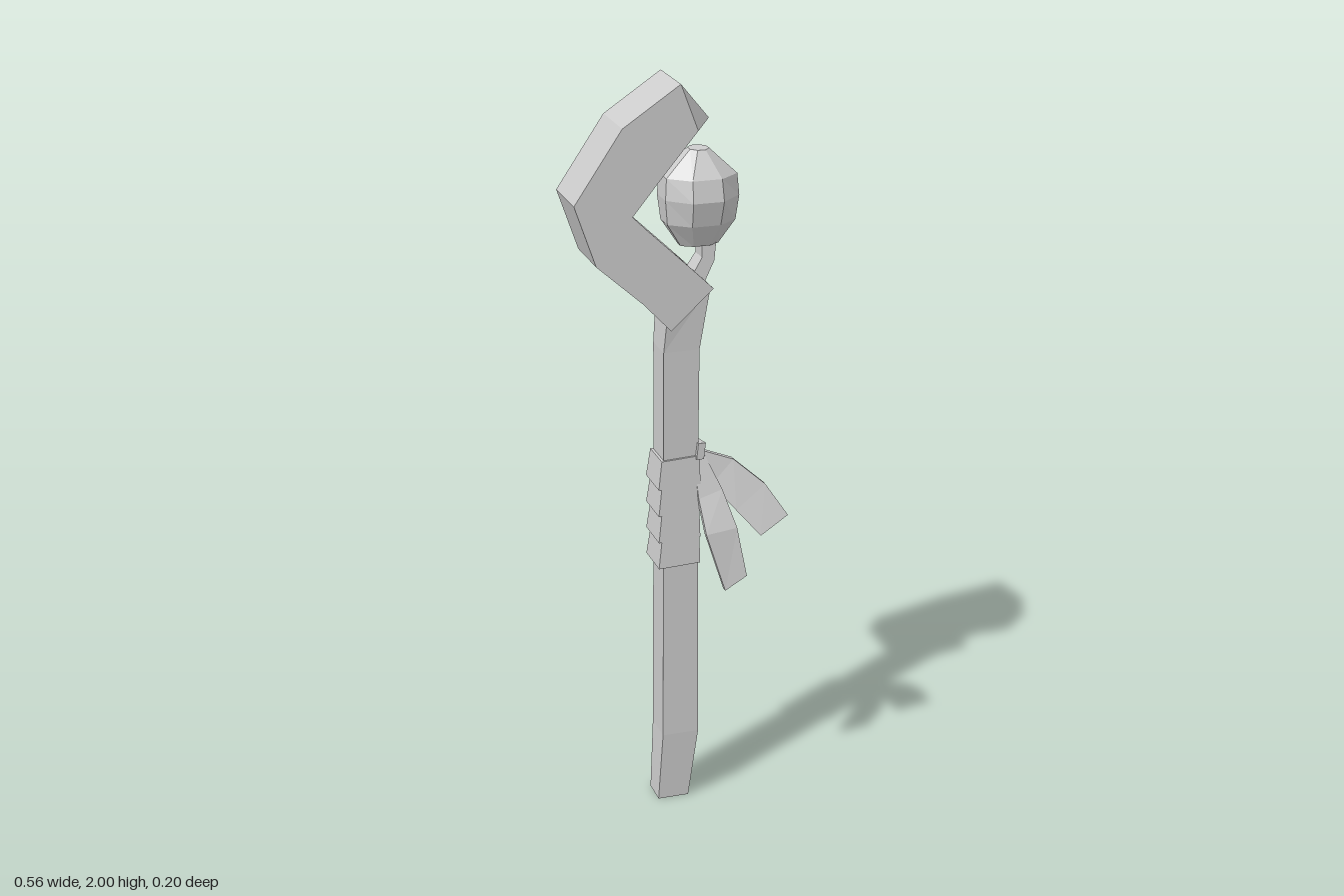
import * as THREE from 'three';

const stone = new THREE.MeshStandardMaterial({ color: 0xcccccc, flatShading: true, side: THREE.DoubleSide });
stone.name = 'plain grey';

// Closed flat-shaded solid through rings of [x, y, z] points; winding is fixed by signed volume.
function loft(name, rings) {
  const tris = [];
  const n = rings[0].length;
  for (let i = 0; i + 1 < rings.length; i++) {
    for (let j = 0; j < n; j++) {
      const k = (j + 1) % n;
      const [a, b, c, d] = [rings[i][j], rings[i][k], rings[i + 1][k], rings[i + 1][j]];
      tris.push([a, b, c], [a, c, d]);
    }
  }
  const first = rings[0], last = rings[rings.length - 1];
  for (let j = 1; j + 1 < n; j++) {
    tris.push([first[0], first[j + 1], first[j]], [last[0], last[j], last[j + 1]]);
  }
  const v = (p) => new THREE.Vector3(...p);
  const volume = tris.reduce((s, [a, b, c]) => s + v(a).dot(v(b).cross(v(c))), 0);
  if (volume < 0) tris.forEach((t) => t.reverse());
  const geometry = new THREE.BufferGeometry();
  geometry.setAttribute('position', new THREE.Float32BufferAttribute(tris.flat(2), 3));
  geometry.computeVertexNormals();
  const mesh = new THREE.Mesh(geometry, stone);
  mesh.name = name;
  return mesh;
}

// Four-cornered ring lying across the shaft, with a height for each side
const shaftRing = (x0, x1, z0, z1, yLeft, yRight = yLeft) =>
  [[x0, yLeft, z1], [x1, yRight, z1], [x1, yRight, z0], [x0, yLeft, z0]];

// Ring spanning two edge points in the xy plane, extended in z
const spanRing = ([ax, ay], [bx, by], z0, z1) => [[ax, ay, z0], [bx, by, z0], [bx, by, z1], [ax, ay, z1]];

export function createModel() {
  const staff = new THREE.Group();
  staff.name = 'staff';

  // Square shaft, tapered at the foot and leaning at the top
  staff.add(loft('shaft', [
    shaftRing(-0.06, 0.025, -0.05, 0.025, 0),
    shaftRing(-0.05, 0.05, -0.058, 0.035, 0.2),
    shaftRing(-0.046, 0.048, -0.055, 0.033, 1.0),
    shaftRing(-0.046, 0.05, -0.055, 0.035, 1.3),
    shaftRing(-0.04, 0.077, -0.06, 0.042, 1.38, 1.47),
  ]));

  // Hooked head with a pinched tip
  const outer = [[-0.035, 1.367], [-0.11, 1.447], [-0.23, 1.555], [-0.285, 1.715], [-0.16, 1.9], [-0.01, 2.0]];
  const inner = [[0.077, 1.47], [0.01, 1.535], [-0.1, 1.64], [-0.135, 1.675], [-0.07, 1.755], [0.035, 1.88]];
  const hook = outer.map((p, i) => spanRing(p, inner[i], -0.1, 0.065));
  hook.push(spanRing([0.077, 1.9], [0.055, 1.88], -0.055, 0.02));
  staff.add(loft('hook', hook));

  // Faceted gem and its bent stem
  const gemRings = [[1.572, 0.05, 0.03], [1.635, 0.09, 0.07], [1.7, 0.097, 0.088], [1.755, 0.093, 0.076], [1.82, 0.025, 0.028]];
  staff.add(loft('gem', gemRings.map(([y, rx, rz]) => Array.from({ length: 8 }, (_, i) => {
    const a = (i + 0.5) * Math.PI / 4, s = 1 / Math.cos(Math.PI / 8);
    return [0.057 + Math.cos(a) * rx * s, y, -0.003 + Math.sin(a) * rz * s];
  }))));
  staff.add(loft('gemStem', [
    spanRing([0.02, 1.46], [0.05, 1.44], -0.036, 0.026),
    spanRing([0.035, 1.5], [0.07, 1.485], -0.036, 0.026),
    spanRing([0.06, 1.54], [0.093, 1.53], -0.032, 0.022),
    spanRing([0.06, 1.59], [0.1, 1.59], -0.028, 0.018),
  ]));

  // Grip wrapping: four overlapping bands, flaring towards the left and back
  for (let i = 0; i < 4; i++) {
    const y = 0.7 + i * 0.075;
    staff.add(loft('gripBand', [
      shaftRing(-0.062, 0.052, -0.072, 0.042, y, y + 0.005),
      shaftRing(-0.053, 0.05, -0.062, 0.039, y + 0.078, y + 0.083),
    ]));
  }
  // Raised strap where the ribbons are tied
  staff.add(loft('strap', [
    [[0.04, 1.0, 0.045], [0.06, 1.0, 0.045], [0.065, 1.045, 0.045], [0.045, 1.045, 0.045]],
    [[0.04, 0.985, -0.07], [0.06, 0.985, -0.07], [0.065, 1.025, -0.07], [0.045, 1.025, -0.07]],
  ]));

  // Two loose ribbons; each row holds both edges, depth at each edge
  const ribbons = {
    longRibbon: [[0.04, 0.99, 0.07, 1.0, 0.015], [0.045, 0.89, 0.11, 0.91, 0.04], [0.055, 0.8, 0.14, 0.81, 0.075], [0.103, 0.64, 0.163, 0.675, 0.09]],
    sideRibbon: [[0.045, 0.96, 0.06, 1.015, 0.01], [0.085, 0.92, 0.145, 0.985, 0.025], [0.145, 0.85, 0.225, 0.915, 0.052], [0.205, 0.78, 0.28, 0.83, 0.078]],
  };
  for (const [name, rows] of Object.entries(ribbons)) {
    staff.add(loft(name, rows.map(([ax, ay, bx, by, z]) => spanRing([ax, ay], [bx, by], z - 0.009, z + 0.009))));
  }
  return staff;
}
